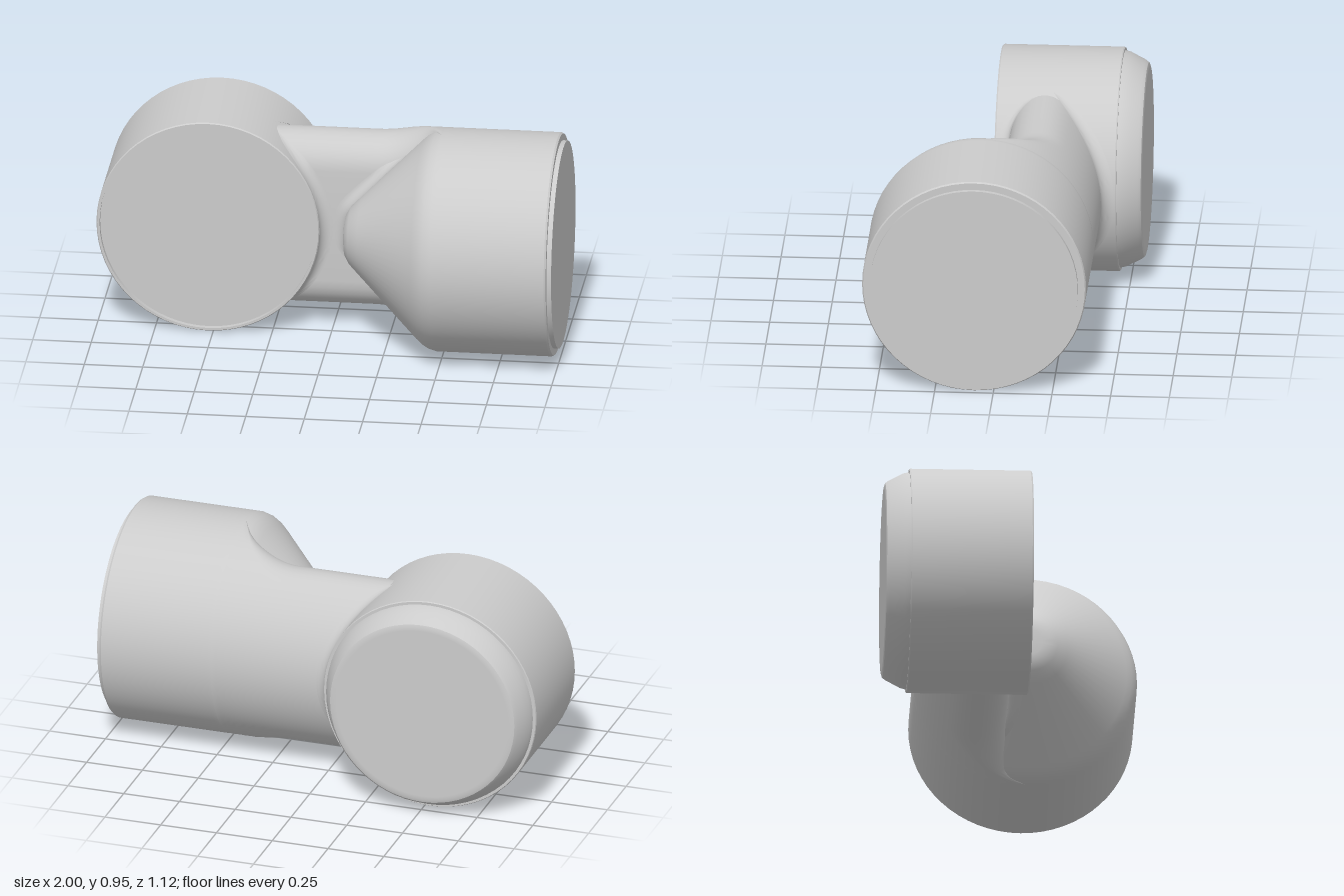
import * as THREE from 'three';
import { toCreasedNormals } from 'three/addons/utils/BufferGeometryUtils.js';

const R = 0.477;      // radius of both housings
const CY = 0.478;     // height of both axes
const CX = -0.523;    // x of the joint housing's axis
const CZ = 0.083;     // z of the sleeve's axis
const EDGE = 0.14;    // rounding of the arm's front edges

const steel = new THREE.MeshStandardMaterial({ color: 0xcccccc });
const thin = new THREE.MeshStandardMaterial({ color: 0xcccccc, side: THREE.DoubleSide });

function add(group, name, geometry, material = steel) {
  const mesh = new THREE.Mesh(geometry, material);
  mesh.name = name;
  group.add(mesh);
}

// Profile given as [radius, position along the axis]
function turned(profile) {
  const points = profile.map(([r, h]) => new THREE.Vector2(r, h));
  return toCreasedNormals(new THREE.LatheGeometry(points, 64), 0.4);
}

// Surface through rows of equally many points
function loft(rows) {
  const n = rows[0].length, index = [];
  for (let i = 0; i < rows.length - 1; i++) {
    for (let j = 0; j < n - 1; j++) {
      const a = i * n + j, b = a + n;
      index.push(a, a + 1, b, b, a + 1, b + 1);
    }
  }
  const geometry = new THREE.BufferGeometry();
  geometry.setAttribute('position', new THREE.Float32BufferAttribute(rows.flat(2), 3));
  geometry.setIndex(index);
  return toCreasedNormals(geometry, 0.6);
}

// Centre (in y) of the arm's rounded front edge
const edgeCentre = (f, r) => Math.sqrt((R - r) ** 2 - (f - r - CZ) ** 2);

// Arm section: round back, rounded edges, flat front; swells into the sleeve
function armSection(x) {
  const t = THREE.MathUtils.clamp((x - 0.17) / 0.305, 0, 1) ** 2.4;
  const f = CZ * t ** 4, r = EDGE * (1 - t) + 0.001;
  const c = edgeCentre(f, r), turn = Math.atan2(f - r - CZ, c);
  const half = [];
  for (let i = 0; i <= 16; i++) {
    const a = -Math.PI / 2 + (turn + Math.PI / 2) * i / 16;
    half.push([R * Math.cos(a), CZ + R * Math.sin(a)]);
  }
  for (let i = 1; i <= 10; i++) {
    const a = turn + (Math.PI / 2 - turn) * i / 10;
    half.push([c + r * Math.cos(a), f - r + r * Math.sin(a)]);
  }
  const mirrored = half.slice(0, -1).map(([y, z]) => [-y, z]);
  const loop = [...half, [0, f], [-half.at(-1)[0], f], ...mirrored.reverse()];
  return loop.map(([y, z]) => [x, CY + y, z]);
}

// Front surface of the arm at a given height from its axis
function armFront(y) {
  const d = Math.max(0, Math.abs(y) - edgeCentre(0, EDGE));
  return -EDGE + Math.sqrt(Math.max(0, EDGE * EDGE - d * d));
}

// Concave fillet along an inner corner; sx and sz point into the open side
function fillet(corner, reach, size, sx, sz) {
  const rows = [];
  for (let i = 0; i <= 40; i++) {
    const u = i / 20 - 1, y = u * reach;
    const s = size * Math.sqrt(Math.max(0.0001, 1 - u ** 4));
    const [x, z] = corner(y, s);
    const row = [];
    for (let j = 0; j <= 8; j++) {
      const t = j / 8 * Math.PI / 2;
      row.push([x + sx * s * (1 - Math.sin(t)), CY + y, z + sz * s * (1 - Math.cos(t))]);
    }
    rows.push(row);
  }
  return loft(rows);
}

export function createModel() {
  const model = new THREE.Group();
  model.name = 'elbowJoint';

  // Joint housing: domed back cover, thin rim around a recessed front face
  const housing = turned([
    [0, -0.56], [0.385, -0.56], [0.4, -0.56], [0.413, -0.556], [0.424, -0.543],
    [0.443, -0.505], [0.457, -0.478], [0.462, -0.455], [0.474, -0.455], [R, -0.45],
    [R, 0.06], [0.473, 0.066], [0.463, 0.066], [0.463, 0.044], [0, 0.044],
  ]);
  housing.rotateX(Math.PI / 2).translate(CX, CY, 0);
  add(model, 'jointHousing', housing);

  // Sleeve with a conical nose and a stepped end, turned about x
  const sleeve = turned([
    [0, 0.065], [0.06, 0.065], [0.09, 0.07], [0.125, 0.09], [0.17, 0.135],
    [0.43, 0.395], [0.452, 0.42], [0.468, 0.447], [R, 0.48], [R, 0.5],
    [R, 0.972], [0.472, 0.98], [0.443, 0.98], [0.443, 1], [0, 1],
  ]);
  sleeve.rotateZ(-Math.PI / 2).translate(0, CY, CZ);
  add(model, 'sleeve', sleeve);

  // Arm joining the two
  const rows = [];
  for (const x of [-0.52, -0.2, 0, 0.17]) rows.push(armSection(x));
  for (let i = 1; i <= 14; i++) rows.push(armSection(0.17 + 0.31 * i / 14));
  add(model, 'arm', loft(rows), thin);

  // Fillets where the arm meets the housing and the sleeve's nose
  const wall = (y) => CX + Math.sqrt(R * R - y * y);
  const nose = (y, z) => {
    const d = Math.hypot(y, z - CZ) - 0.1;
    return 0.06 + (d + Math.sqrt(d * d + 0.0016)) / 2;
  };
  add(model, 'housingFrontFillet',
    fillet((y) => [wall(y), armFront(y)], 0.385, 0.05, 1, 1), thin);
  add(model, 'housingBackFillet',
    fillet((y) => [wall(y), CZ - Math.sqrt(R * R - y * y)], 0.4, 0.052, 1, -1), thin);
  add(model, 'noseFillet',
    fillet((y, s) => [nose(y, armFront(y) + s), armFront(y)], 0.35, 0.055, -1, 1), thin);

  return model;
}
